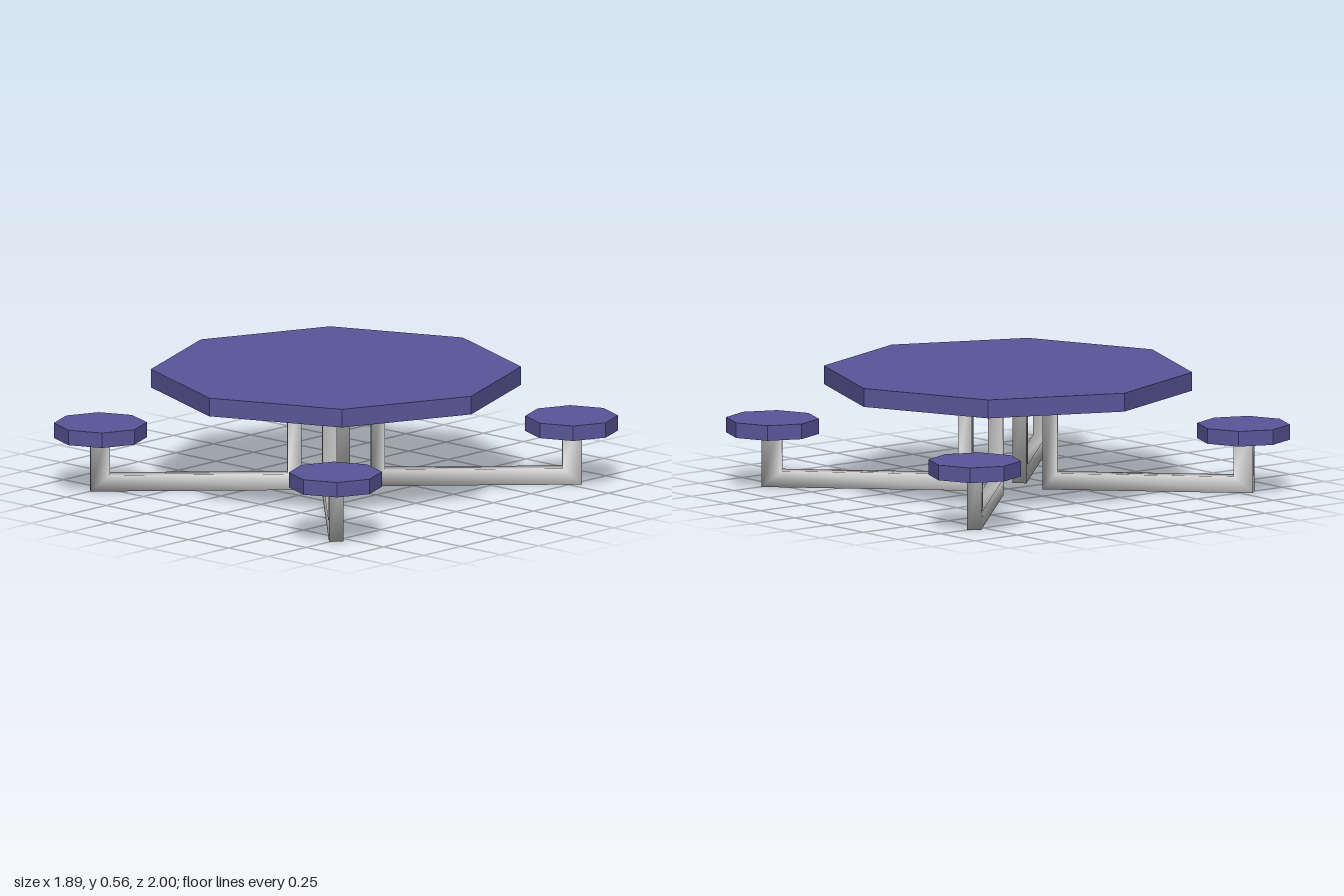
import * as THREE from 'three';

const blue = new THREE.MeshStandardMaterial({ color: 0x5a5599, flatShading: true, side: THREE.DoubleSide });
const grey = new THREE.MeshStandardMaterial({ color: 0xcccccc, side: THREE.DoubleSide });

// Octagonal slab: a top with a rim, open underneath
function octagon(name, radius, bottom, top) {
  const profile = [[radius, bottom], [radius, top], [0, top]].map(p => new THREE.Vector2(...p));
  const mesh = new THREE.Mesh(new THREE.LatheGeometry(profile, 8), blue);
  mesh.name = name;
  return mesh;
}

// U-shaped square tube: table post, floor arm and seat post joined by mitred corners
function supportGeometry() {
  const span = 0.887, inner = 0.032, outer = 0.045, arm = 0.075, half = 0.0325;
  const tableY = 0.553, seatY = 0.313;
  // each ring: point on the outside of the U, then on the inside
  const rings = [
    [[-inner, tableY], [inner, tableY]],
    [[-inner, 0], [inner, arm]],
    [[span + outer, 0], [span - outer, arm]],
    [[span + outer, seatY], [span - outer, seatY]],
  ];
  const positions = [], index = [];
  for (const [a, b] of rings) {
    positions.push(...a, half, ...b, half, ...b, -half, ...a, -half);
  }
  for (let r = 0; r < rings.length - 1; r++) {
    for (let i = 0; i < 4; i++) {
      const j = (i + 1) % 4;
      const p = r * 4 + i, q = r * 4 + j;
      index.push(p, p + 4, q, q, p + 4, q + 4);
    }
  }
  const geometry = new THREE.BufferGeometry();
  geometry.setAttribute('position', new THREE.Float32BufferAttribute(positions, 3));
  geometry.setIndex(index);
  geometry.computeVertexNormals();
  return geometry;
}

export function createModel() {
  const model = new THREE.Group();
  model.name = 'picnicTable';
  model.add(octagon('tableTop', 0.845, 0.47, 0.555));

  // Four diagonal supports, each carrying a seat
  const support = supportGeometry();
  for (const sx of [-1, 1]) {
    for (const sz of [-1, 1]) {
      const corner = (sz > 0 ? 'front' : 'back') + (sx > 0 ? 'Left' : 'Right');
      const leg = new THREE.Mesh(support, grey);
      leg.name = corner + 'Support';
      leg.position.set(sx * 0.11, 0, sz * 0.16);
      leg.rotation.y = Math.atan2(-sz, sx);
      const seat = octagon(corner + 'Seat', 0.2125, 0.245, 0.315);
      seat.position.set(sx * 0.735, 0, sz * 0.7875);
      model.add(leg, seat);
    }
  }
  return model;
}
